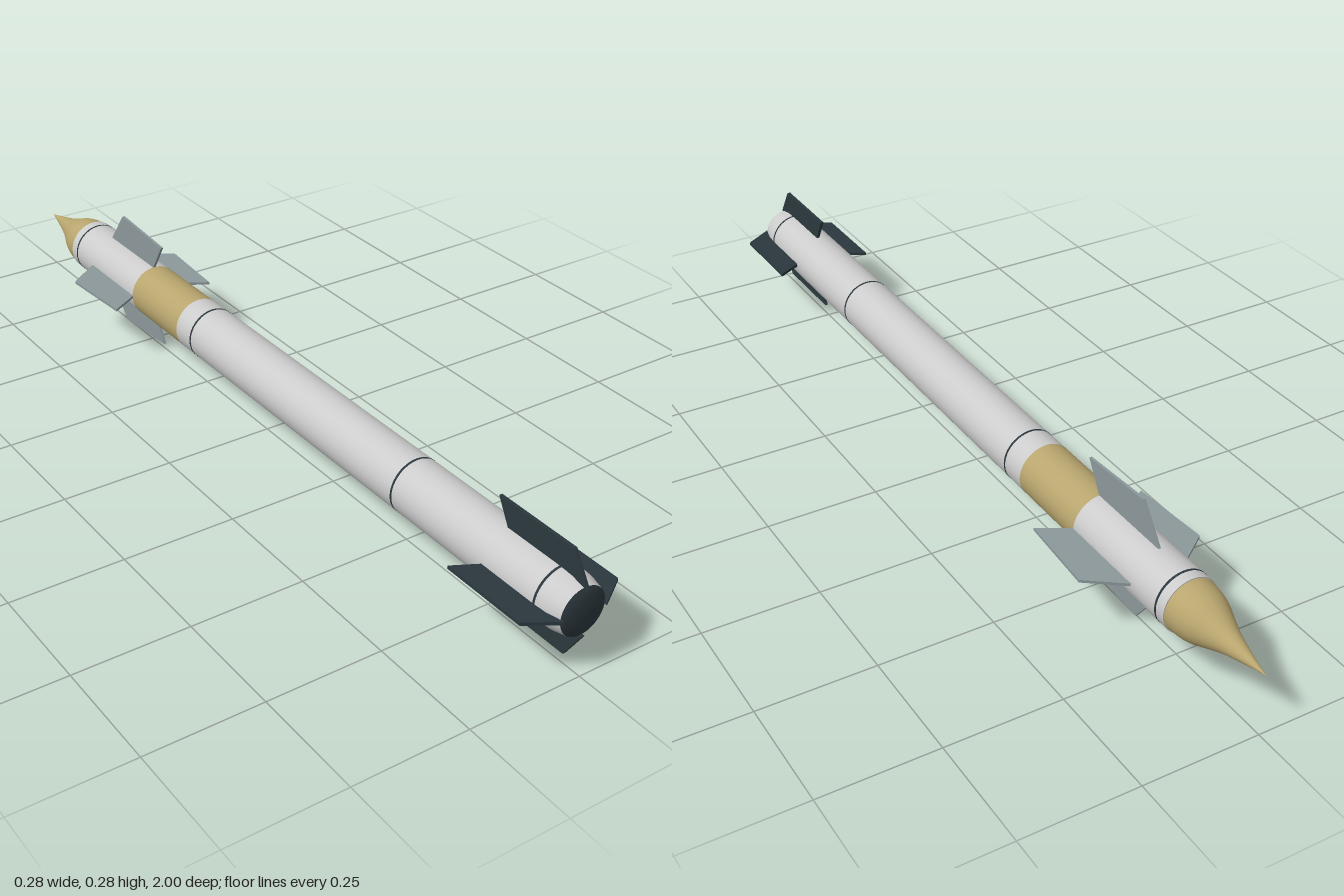
import * as THREE from 'three';

const AXIS_Y = 0.138;
const R = 0.061;

const paint = (color) => new THREE.MeshStandardMaterial({ color });
const grey = paint(0xcccccc);
const gold = paint(0xb8a56e);
const dark = paint(0x2c383e);
const steel = paint(0x8c989b);

// Solid of revolution about the long axis; points are [radius, z] with rising z
function turned(name, points, material) {
  const geometry = new THREE.LatheGeometry(points.map(([r, z]) => new THREE.Vector2(r, z)), 48);
  geometry.rotateX(Math.PI / 2);
  const mesh = new THREE.Mesh(geometry, material);
  mesh.name = name;
  return mesh;
}

// Four equal fins around the axis; outline points are [radius, z]
function finSet(name, outline, thickness, material) {
  const shape = new THREE.Shape(outline.map(([r, z]) => new THREE.Vector2(r, z)));
  const geometry = new THREE.ExtrudeGeometry(shape, { depth: thickness, bevelEnabled: false });
  geometry.translate(0, 0, -thickness / 2);
  geometry.rotateX(Math.PI / 2);
  const set = new THREE.Group();
  set.name = name;
  for (let i = 0; i < 4; i++) {
    const fin = new THREE.Mesh(geometry, material);
    fin.name = name + (i + 1);
    fin.rotation.z = (i * Math.PI) / 2;
    set.add(fin);
  }
  return set;
}

export function createModel() {
  const model = new THREE.Group();
  model.name = 'missile';
  const body = new THREE.Group();
  body.name = 'body';
  body.position.y = AXIS_Y;
  model.add(body);

  // Nose cone: concave tip flaring into a rounded shoulder
  const noseCurve = new THREE.SplineCurve([
    [0, -1], [0.013, -0.945], [0.025, -0.9], [0.038, -0.865], [0.05, -0.835], [0.056, -0.81], [0.059, -0.78],
  ].map(([r, z]) => new THREE.Vector2(r, z)));
  const nosePoints = noseCurve.getPoints(24).map((p) => [Math.max(p.x, 0), p.y]);
  body.add(turned('noseCone', nosePoints, gold));

  // Straight tube sections
  const tube = (name, z0, z1, material) => body.add(turned(name, [[R, z0], [R, z1]], material));
  tube('guidanceSection', -0.78, -0.48, grey);
  tube('warheadSection', -0.48, -0.28, gold);
  tube('motorSection', -0.28, 0.93, grey);
  body.add(turned('frontShoulder', [[0.056, -0.78], [R, -0.78]], grey));

  // Tapered tail and domed end cap
  body.add(turned('tailTaper', [[R, 0.93], [0.059, 0.96], [0.052, 0.99]], grey));
  body.add(turned('endCap', [[0.052, 0.99], [0.047, 0.993], [0.035, 0.997], [0.018, 0.999], [0, 1]], dark));

  // Joint bands between sections
  for (const z of [-0.755, -0.22, 0.52, 0.93]) {
    const r = R + 0.0003;
    body.add(turned('jointBand', [[R - 0.002, z - 0.0025], [r, z - 0.0025], [r, z + 0.0025], [R - 0.002, z + 0.0025]], dark));
  }

  // Swept control fins and tail fins
  body.add(finSet('controlFin', [[0.05, -0.685], [0.138, -0.62], [0.126, -0.44], [0.05, -0.485]], 0.006, steel));
  body.add(finSet('tailFin', [[0.05, 0.795], [0.115, 0.76], [0.115, 0.957], [0.05, 0.998]], 0.007, dark));

  return model;
}
